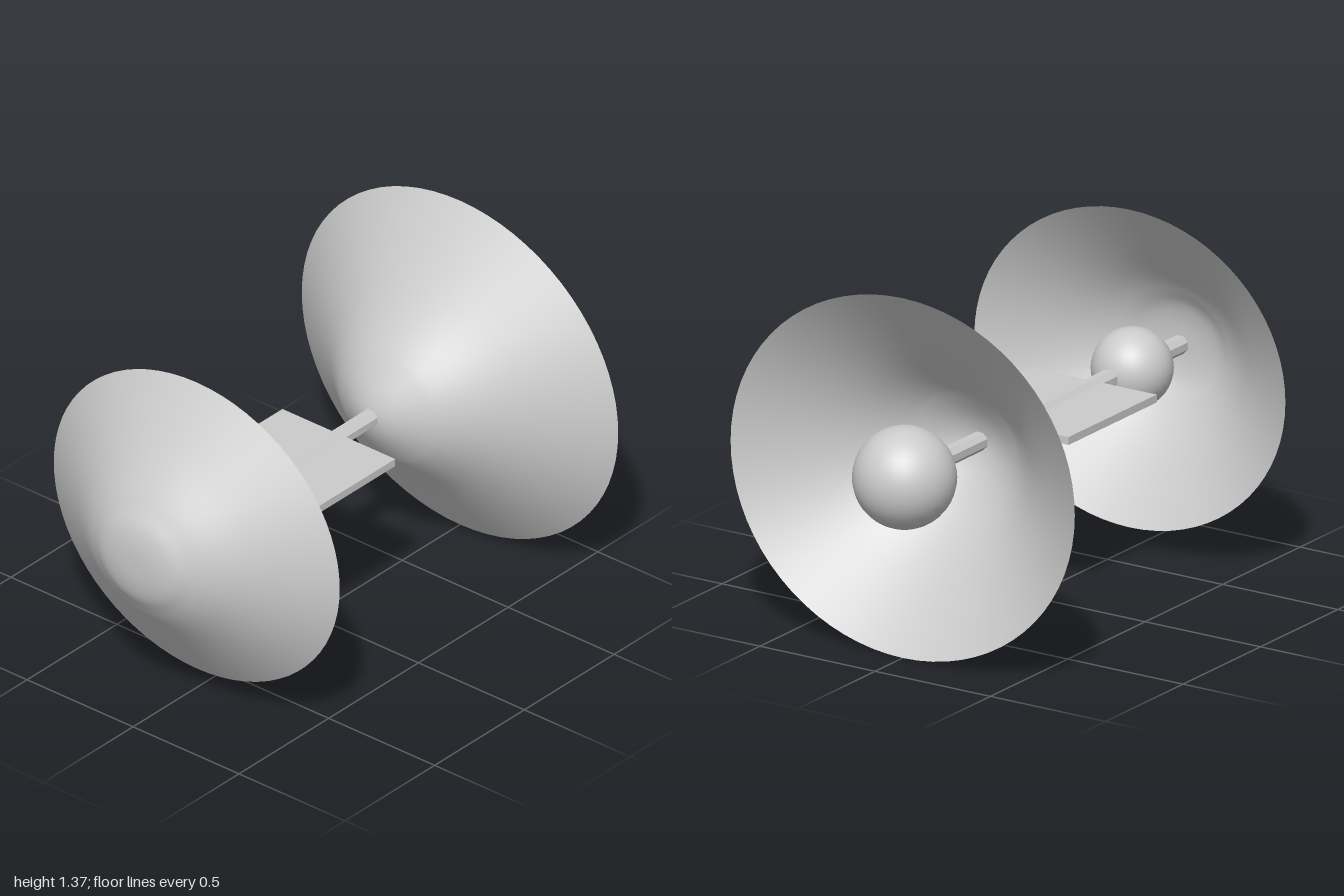
import * as THREE from 'three';

const AXIS_Y = 0.69;

export function createModel() {
  const model = new THREE.Group();
  const solid = new THREE.MeshStandardMaterial({ color: 0xcccccc });
  const thin = new THREE.MeshStandardMaterial({ color: 0xcccccc, side: THREE.DoubleSide });

  const add = (name, geometry, material, x, y, z) => {
    const mesh = new THREE.Mesh(geometry, material);
    mesh.name = name;
    mesh.position.set(x, y, z);
    model.add(mesh);
    return mesh;
  };

  // Slightly oval open dish; profile is [radius fraction, z] from apex to rim
  const addDish = (name, profile, rx, ry) => {
    const curve = new THREE.SplineCurve(profile.map(([r, z]) => new THREE.Vector2(r, z)));
    const points = curve.getPoints(28);
    points.forEach((p) => { p.x = Math.max(0, p.x); });
    const geometry = new THREE.LatheGeometry(points, 72);
    geometry.rotateX(Math.PI / 2);
    geometry.scale(rx, ry, 1);
    add(name, geometry, thin, 0, AXIS_Y, 0);
  };

  addDish('frontDish', [[0, 1], [0.12, 0.997], [0.24, 0.98], [0.34, 0.945],
    [0.45, 0.9], [0.66, 0.8], [1, 0.645]], 0.675, 0.605);
  addDish('rearDish', [[0, -0.32], [0.07, -0.328], [0.16, -0.353], [0.28, -0.405],
    [0.37, -0.455], [0.6, -0.6], [1, -0.822]], 0.747, 0.685);

  // Balls sitting in the dishes' open sides
  add('frontBall', new THREE.SphereGeometry(0.15, 32, 20), solid, 0, AXIS_Y, 0.66);
  add('rearBall', new THREE.SphereGeometry(0.19, 32, 20), solid, 0, AXIS_Y, -0.81);

  // Rod running through both balls and the rear dish
  const rodFront = 0.97, rodBack = -0.75;
  const rod = new THREE.CylinderGeometry(0.036, 0.036, rodFront - rodBack, 8);
  rod.rotateY(Math.PI / 8).rotateX(Math.PI / 2);
  const rodMaterial = solid.clone();
  rodMaterial.flatShading = true;
  add('rod', rod, rodMaterial, 0, AXIS_Y, (rodFront + rodBack) / 2);

  // Flat panel on each side of the rod
  for (const side of [1, -1]) {
    add(side > 0 ? 'leftPanel' : 'rightPanel',
      new THREE.BoxGeometry(0.25, 0.03, 0.57), solid, side * 0.141, AXIS_Y, 0.138);
  }

  return model;
}
